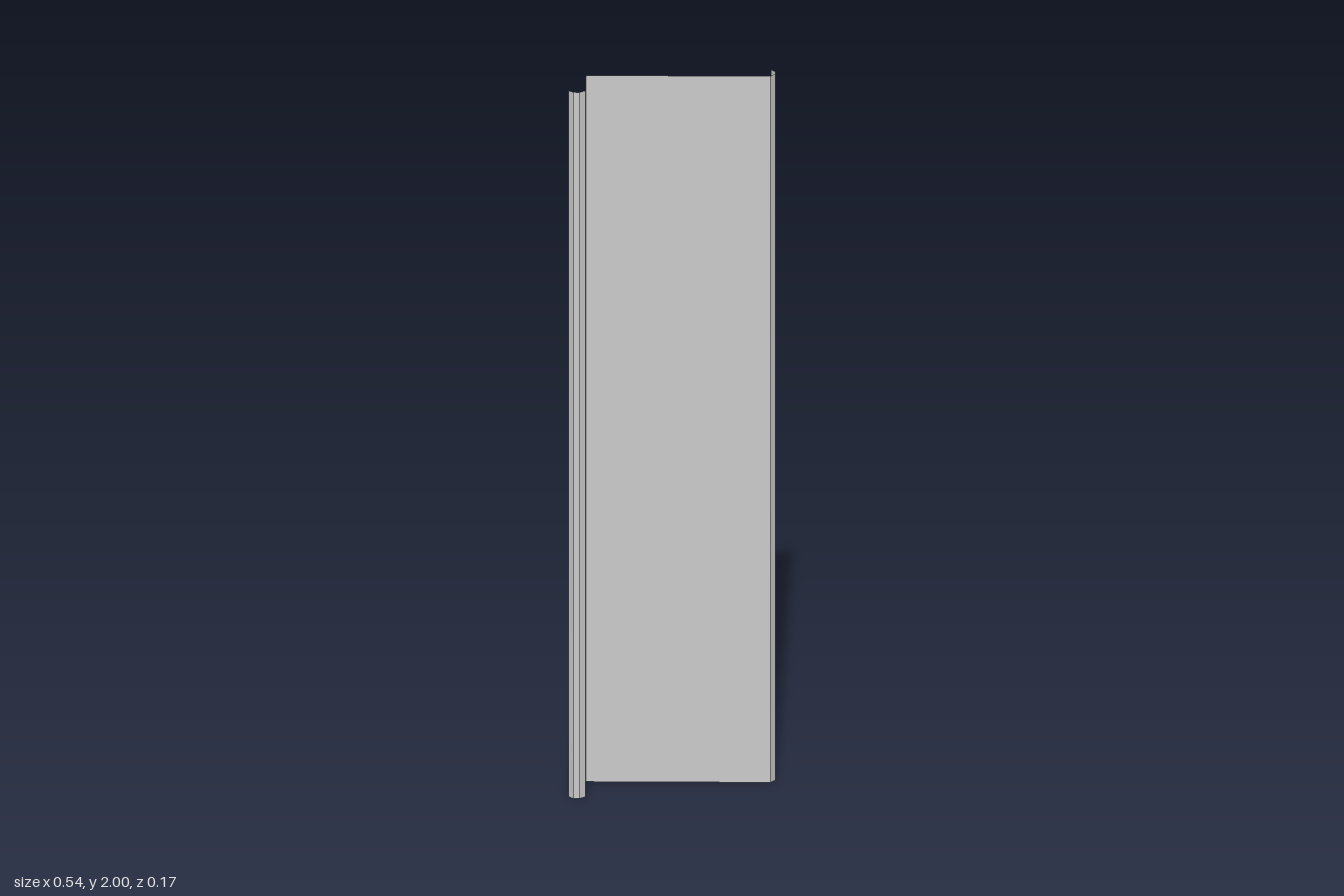
import * as THREE from 'three';

const HEIGHT = 2;

// Thin sheet metal, visible from both sides
const material = new THREE.MeshStandardMaterial({
  color: 0xcccccc, flatShading: true, side: THREE.DoubleSide,
});

// Raises an open [x, z] profile into a thin folded sheet standing on y = 0
function foldedSheet(name, profile) {
  const positions = [];
  for (let i = 0; i < profile.length - 1; i++) {
    const [ax, az] = profile[i];
    const [bx, bz] = profile[i + 1];
    positions.push(ax, 0, az, bx, 0, bz, bx, HEIGHT, bz);
    positions.push(ax, 0, az, bx, HEIGHT, bz, ax, HEIGHT, az);
  }
  const geometry = new THREE.BufferGeometry();
  geometry.setAttribute('position', new THREE.Float32BufferAttribute(positions, 3));
  geometry.computeVertexNormals();
  const mesh = new THREE.Mesh(geometry, material);
  mesh.name = name;
  return mesh;
}

export function createModel() {
  const model = new THREE.Group();
  model.name = 'claddingPanel';

  const outer = 0.272, inner = 0.26; // lip bump and panel edge in x
  const webX = -0.228;
  const panelZ = -0.037, flangeZ = 0.074;
  const end = 0.086;

  // Channelled flange at the front of the web
  model.add(foldedSheet('flange', [
    [-outer, flangeZ], [-0.259, end], [-0.243, end], [webX, flangeZ],
  ]));
  // Web joining flange and panel
  model.add(foldedSheet('web', [[webX, flangeZ], [webX, panelZ]]));
  // Wide flat face
  model.add(foldedSheet('panel', [[webX, panelZ], [inner, panelZ]]));
  // Channelled lip folded backwards
  model.add(foldedSheet('lip', [
    [inner, panelZ], [outer, -0.053], [outer, -0.07], [inner, -end],
  ]));

  return model;
}
